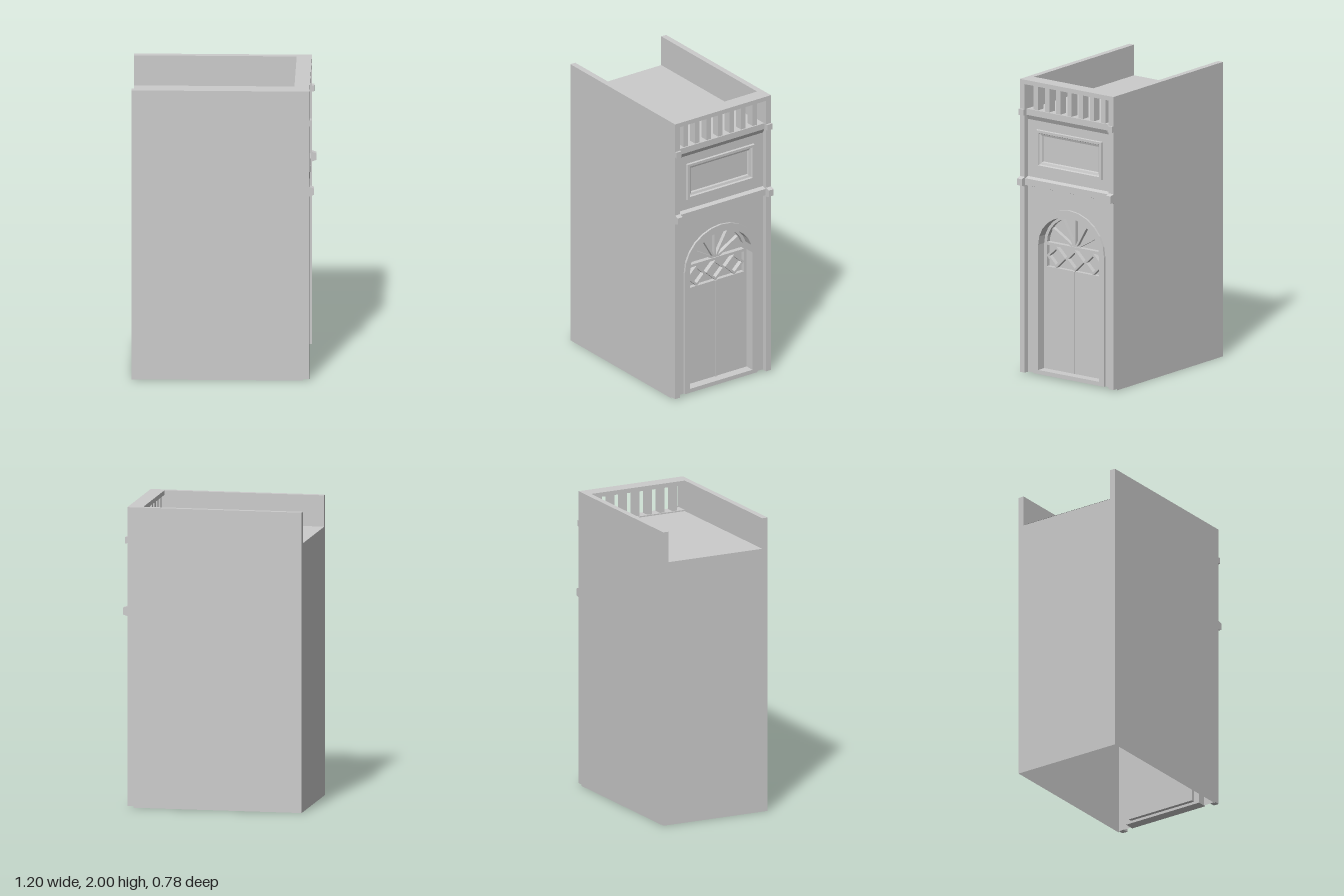
import * as THREE from 'three';

const mat = new THREE.MeshStandardMaterial({ color: 0xcccccc, flatShading: true, side: THREE.DoubleSide });

function add(parent, name, geo, x = 0, y = 0, z = 0) {
  const m = new THREE.Mesh(geo, mat);
  m.name = name;
  m.position.set(x, y, z);
  parent.add(m);
  return m;
}

// Box given by its limits on each axis
function slab(parent, name, x0, x1, y0, y1, z0, z1) {
  return add(parent, name, new THREE.BoxGeometry(x1 - x0, y1 - y0, z1 - z0),
    (x0 + x1) / 2, (y0 + y1) / 2, (z0 + z1) / 2);
}

function outline(points) {
  return new THREE.Shape(points.map(([x, y]) => new THREE.Vector2(x, y)));
}

function rect(w, y0, y1) {
  return outline([[-w, y0], [w, y0], [w, y1], [-w, y1]]);
}

// Door outline: straight sides from y0 up to the spring line, then a faceted arch
const SPRING = 0.89;
function arch(w, rise, y0) {
  const pts = y0 < SPRING ? [[-w, y0], [w, y0]] : [];
  for (let i = 0; i <= 12; i++) {
    const a = Math.PI * i / 12;
    pts.push([w * Math.cos(a), SPRING + rise * Math.sin(a)]);
  }
  return outline(pts);
}

function pierced(shape, ...holes) {
  shape.holes.push(...holes);
  return shape;
}

function extrude(shape, depth) {
  return new THREE.ExtrudeGeometry(shape, { depth, bevelEnabled: false });
}

// Moulding run across the facade; profile is [depth, height]
function moulding(parent, name, profile, u0, u1) {
  const geo = extrude(outline(profile), u1 - u0);
  geo.rotateY(-Math.PI / 2); // profile depth -> +z, run -> -x
  add(parent, name, geo, u1, 0, 0);
}

// Picture-frame panel lofted through rectangular rings [halfWidth, halfHeight, depth]
function panelGeometry(rings) {
  const pos = [], idx = [];
  for (const [w, h, d] of rings) pos.push(-w, -h, d, w, -h, d, w, h, d, -w, h, d);
  for (let r = 0; r < rings.length - 1; r++) {
    for (let i = 0; i < 4; i++) {
      const a = r * 4 + i, b = r * 4 + (i + 1) % 4;
      idx.push(a, b, b + 4, a, b + 4, a + 4);
    }
  }
  const l = (rings.length - 1) * 4;
  idx.push(l, l + 1, l + 2, l, l + 2, l + 3);
  const g = new THREE.BufferGeometry();
  g.setAttribute('position', new THREE.Float32BufferAttribute(pos, 3));
  g.setIndex(idx);
  const flat = g.toNonIndexed();
  flat.computeVertexNormals();
  return flat;
}

function buildShell(root) {
  const shell = new THREE.Group();
  shell.name = 'shell';
  root.add(shell);
  for (const s of [-1, 1]) {
    const wall = add(shell, 'sideWall', new THREE.PlaneGeometry(1.13, 1.79), -0.035, 0.895, s * 0.39);
    if (s < 0) wall.rotation.y = Math.PI;
    slab(shell, 'sideParapet', -0.6, 0.53, 1.79, 2, s * 0.37 - 0.02, s * 0.37 + 0.02);
    slab(shell, 'pilaster', 0.53, 0.57, 0.01, 2, s * 0.37 - 0.02, s * 0.37 + 0.02);
  }
  add(shell, 'rearWall', new THREE.PlaneGeometry(0.78, 1.79), -0.6, 0.895, 0).rotation.y = -Math.PI / 2;
  add(shell, 'roof', new THREE.PlaneGeometry(1.13, 0.78), -0.035, 1.792, 0).rotation.x = -Math.PI / 2;
}

// Facade is modelled facing +z and turned to face +x: x = across, z = depth
function buildFacade(root) {
  const f = new THREE.Group();
  f.name = 'facade';
  f.rotation.y = Math.PI / 2;
  root.add(f);
  const WALL = 0.535;

  const wall = pierced(rect(0.35, 0.012, 1.8), arch(0.28, 0.255, 0.025),
    outline([[-0.27, 1.415], [0.27, 1.415], [0.27, 1.665], [-0.27, 1.665]]));
  add(f, 'frontWall', new THREE.ShapeGeometry(wall), 0, 0, WALL);

  // Framed panel above the door
  add(f, 'upperPanel', panelGeometry([
    [0.275, 0.13, WALL - 0.002], [0.272, 0.127, WALL + 0.015], [0.255, 0.11, WALL + 0.015],
    [0.25, 0.105, WALL + 0.003], [0.235, 0.09, WALL - 0.002], [0.23, 0.086, WALL - 0.015],
  ]), 0, 1.54, 0);

  // Horizontal mouldings, stepping forward over the pilasters
  const bands = [[-0.35, 0.35, WALL], [0.35, 0.39, 0.57], [-0.39, -0.35, 0.57]];
  for (const [a, b, d] of bands) {
    moulding(f, 'stringCourse', [[d - 0.005, 1.275], [d, 1.275], [d + 0.03, 1.285],
      [d + 0.03, 1.33], [d, 1.34], [d - 0.005, 1.34]], a, b);
    const low = d === WALL ? 1.728 : 1.76;
    moulding(f, 'cornice', [[d - 0.005, low], [d, low], [d + 0.015, 1.758],
      [d + 0.015, 1.8], [d - 0.005, 1.8]], a, b);
  }

  // Balustrade
  slab(f, 'balustradeSill', -0.35, 0.35, 1.78, 1.8, 0.47, WALL);
  slab(f, 'topRail', -0.35, 0.35, 1.97, 2, 0.47, 0.57);
  for (let i = -3; i <= 3; i++) {
    slab(f, 'baluster', i * 0.0935 - 0.018, i * 0.0935 + 0.018, 1.8, 1.97, 0.48, 0.54);
  }
  buildDoor(f);
}

function buildDoor(f) {
  const door = new THREE.Group();
  door.name = 'door';
  f.add(door);
  const FACE = 0.485, GLASS = 0.455;

  // Surround with a deep reveal and threshold
  add(door, 'doorSurround', extrude(pierced(arch(0.295, 0.272, 0.012), arch(0.254, 0.222, 0.04)), 0.07), 0, 0, 0.48);
  // Door leaf pierced by the fanlight and the lattice window
  const leaf = pierced(arch(0.256, 0.224, 0.03), arch(0.232, 0.205, 0.9), rect(0.232, 0.735, 0.885));
  add(door, 'doorLeaf', extrude(leaf, FACE - GLASS), 0, 0, GLASS);
  add(door, 'windowPane', new THREE.ShapeGeometry(arch(0.25, 0.22, 0.72)), 0, 0, GLASS + 0.001);
  slab(door, 'meetingBead', -0.004, 0.004, 0.04, 0.735, FACE - 0.002, FACE + 0.008);
  slab(door, 'transom', -0.232, 0.232, 0.883, 0.902, GLASS, FACE + 0.005);

  // Fan of glazing bars
  for (let i = 1; i <= 5; i++) {
    const a = Math.PI * i / 6;
    const geo = new THREE.BoxGeometry(0.215, 0.014, 0.028);
    geo.translate(0.1075, 0, 0);
    add(door, 'fanBar', geo, 0, SPRING, GLASS + 0.014).rotation.z = a;
  }

  // Row of diamond lattice frames
  const diamond = (w, h) => outline([[w, 0], [0, h], [-w, 0], [0, -h]]);
  for (const x of [-0.154, 0, 0.154]) {
    add(door, 'diamond', extrude(pierced(diamond(0.078, 0.075), diamond(0.056, 0.054)), 0.033), x, 0.81, GLASS);
  }
}

export function createModel() {
  const root = new THREE.Group();
  root.name = 'townhouse';
  buildShell(root);
  buildFacade(root);
  return root;
}
